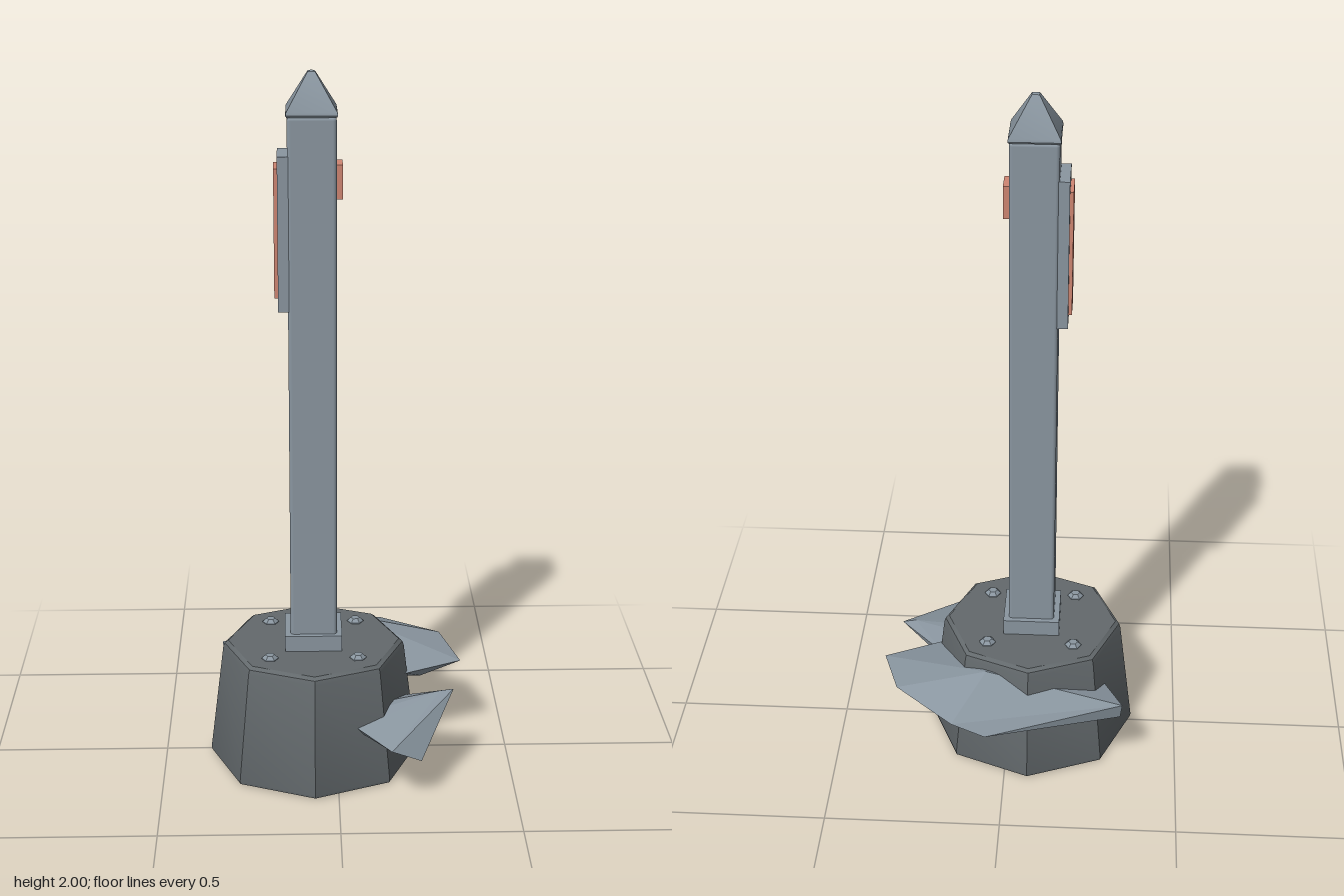
import * as THREE from 'three';
import { toCreasedNormals } from 'three/addons/utils/BufferGeometryUtils.js';
import { RoundedBoxGeometry } from 'three/addons/geometries/RoundedBoxGeometry.js';
import { ConvexGeometry } from 'three/addons/geometries/ConvexGeometry.js';

// Axis of the post and its footing
const CX = -0.067, CZ = 0.013;

export function createModel() {
  const group = new THREE.Group();
  const material = (name, color) => {
    const m = new THREE.MeshStandardMaterial({ color });
    m.name = name;
    return m;
  };
  const concrete = material('darkConcrete', 0x63696c);
  const metal = material('greyMetal', 0x8a96a0);
  const orange = material('dullOrange', 0xcf8672);

  const add = (name, geometry, mat, x = 0, y = 0, z = 0) => {
    const mesh = new THREE.Mesh(geometry, mat);
    mesh.name = name;
    mesh.position.set(x, y, z);
    group.add(mesh);
    return mesh;
  };
  // Faceted turned shape from [radius, height] pairs, bottom to top
  const turned = (points, sides) => toCreasedNormals(
    new THREE.LatheGeometry(points.map(([r, y]) => new THREE.Vector2(r, y)), sides), 0.6);
  // Box given by its limits
  const block = (name, mat, [x0, x1], [y0, y1], [z0, z1]) => add(name,
    new THREE.BoxGeometry(x1 - x0, y1 - y0, z1 - z0), mat,
    (x0 + x1) / 2, (y0 + y1) / 2, (z0 + z1) / 2);
  const shard = (name, points) => add(name,
    new ConvexGeometry(points.map((p) => new THREE.Vector3(...p))), metal);

  // Tapered octagonal footing with softened rims
  add('footing', turned([
    [0, 0], [0.292, 0], [0.3, 0.003], [0.302, 0.012],
    [0.262, 0.335], [0.258, 0.347], [0.247, 0.355], [0, 0.355],
  ], 8), concrete, CX, 0, CZ);

  // Mounting plate and four bolts
  block('mountingPlate', metal, [-0.149, 0.014], [0.35, 0.402], [-0.069, 0.094]);
  for (const sx of [-1, 1]) {
    for (const sz of [-1, 1]) {
      const bolt = add('bolt', turned([
        [0.024, -0.01], [0.024, 0.002], [0.013, 0.012], [0, 0.012],
      ], 6), metal, CX + sx * 0.125, 0.355, CZ + sz * 0.125);
      bolt.rotation.y = Math.PI / 6;
    }
  }

  // Square post with a pointed cap
  add('post', new RoundedBoxGeometry(0.132, 1.5, 0.132, 2, 0.01), metal, CX, 1.135, CZ);
  const cap = add('cap', turned([
    [0, 1.884], [0.094, 1.884], [0.098, 1.889], [0.096, 1.897],
    [0.024, 1.984], [0.014, 1.996], [0, 2],
  ], 4), metal, CX, 0, CZ);
  cap.rotation.y = Math.PI / 4;

  // Display panel on one side, small lamp on the other
  block('panelFrame', metal, [-0.16, -0.13], [1.355, 1.78], [-0.05, 0.076]);
  block('panelFace', orange, [-0.17, -0.16], [1.39, 1.745], [-0.034, 0.059]);
  block('lamp', orange, [-0.003, 0.016], [1.66, 1.753], [-0.022, 0.048]);

  // Broken slabs jutting from the footing
  shard('backShard', [
    [-0.34, 0.235, -0.235], [-0.335, 0.19, -0.23], [-0.26, 0.22, -0.06],
    [0.05, 0.21, -0.37], [0.145, 0.25, -0.368], [0.055, 0.325, -0.215],
    [0.315, 0.265, -0.225], [0.367, 0.25, -0.055], [0.2, 0.25, 0.028],
    [0.1, 0.17, -0.26], [0.25, 0.2, -0.06], [0, 0.23, 0],
  ]);
  shard('frontShard', [
    [0.333, 0.247, 0.125], [0.295, 0.247, 0.135], [0.2, 0.19, 0.045],
    [0.2, 0.155, 0.06], [0.23, 0.127, 0.33], [0.145, 0.175, 0.365],
    [0.145, 0.215, 0.165], [0.055, 0.185, 0.245], [0.07, 0.165, 0.24],
    [0.05, 0.19, 0.12],
  ]);
  return group;
}
